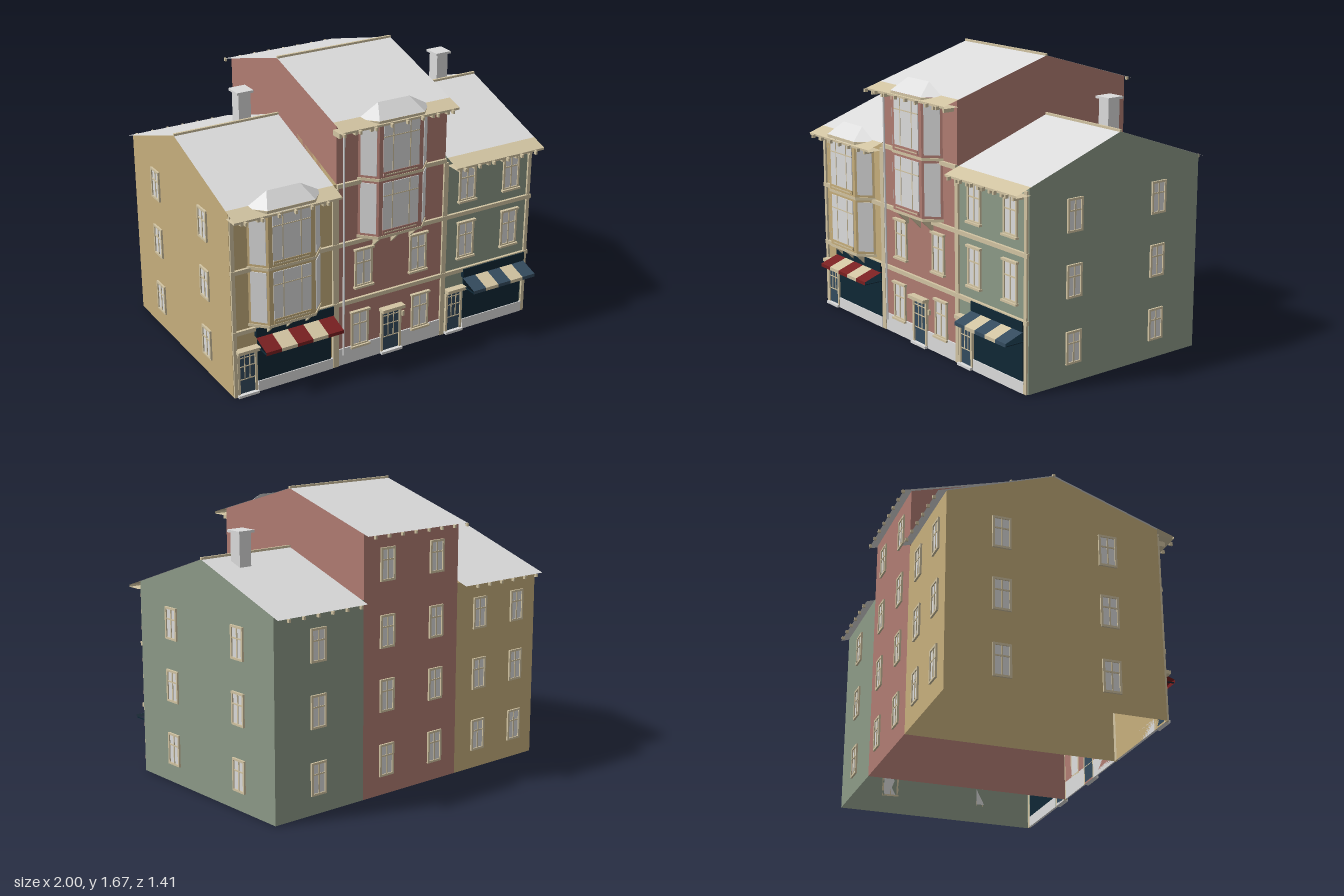
import * as THREE from 'three';

const mat = (name, color) => {
  const m = new THREE.MeshStandardMaterial({ color, side: THREE.DoubleSide });
  m.name = name;
  return m;
};
const F = 0.575, B = -0.64, RZ = -0.035; // front wall, back wall, ridge

export function createModel() {
  const M = {
    ochre: mat('ochre plaster', 0xc6ae7c), red: mat('red plaster', 0xb07c72),
    green: mat('green plaster', 0x8c9a87), cream: mat('cream trim', 0xd2c4a2),
    grey: mat('pale grey', 0xdcdcdc), navy: mat('navy shopfront', 0x0f2735),
    blue: mat('blue paint', 0x344b5e), crimson: mat('crimson cloth', 0x7a1f20),
  };
  const model = new THREE.Group();
  model.name = 'terrace';

  const add = (parent, name, geo, m) => {
    const mesh = new THREE.Mesh(geo, m);
    mesh.name = name;
    parent.add(mesh);
    return mesh;
  };
  // box given by its limits
  const box = (parent, name, m, x0, x1, y0, y1, z0, z1) => {
    const b = add(parent, name, new THREE.BoxGeometry(x1 - x0, y1 - y0, z1 - z0), m);
    b.position.set((x0 + x1) / 2, (y0 + y1) / 2, (z0 + z1) / 2);
    return b;
  };
  // flat polygon of 3 to 5 corners, counter-clockwise from outside
  const face = (parent, name, m, ...pts) => {
    const pos = [];
    for (let i = 1; i < pts.length - 1; i++) pos.push(...pts[0], ...pts[i], ...pts[i + 1]);
    const g = new THREE.BufferGeometry();
    g.setAttribute('position', new THREE.Float32BufferAttribute(pos, 3));
    g.computeVertexNormals();
    return add(parent, name, g, m);
  };
  const group = (parent, name, x = 0, y = 0, z = 0, ry = 0) => {
    const g = new THREE.Group();
    g.name = name;
    g.position.set(x, y, z);
    g.rotation.y = ry;
    parent.add(g);
    return g;
  };

  // casement window: frame, glazing bars, optional sill and lintel
  const windowAt = (parent, x, y, z, ry, w, h, trim) => {
    const g = group(parent, 'window', x, y, z, ry), d = 0.011, t = 0.012, W = w / 2, H = h / 2;
    box(g, 'pane', M.grey, -W + t, W - t, -H + t, H - t, 0, 0.004);
    for (const s of [-1, 1]) {
      box(g, 'jamb', M.cream, s * (W - t / 2) - t / 2, s * (W - t / 2) + t / 2, -H, H, 0, d);
      box(g, 'rail', M.cream, -W, W, s * (H - t / 2) - t / 2, s * (H - t / 2) + t / 2, 0, d);
    }
    box(g, 'mullion', M.cream, -0.004, 0.004, -H, H, 0, 0.008);
    box(g, 'transom', M.cream, -W, W, H * 0.22, H * 0.22 + 0.008, 0, 0.008);
    if (trim) {
      box(g, 'sill', M.cream, -W - 0.006, W + 0.006, -H - 0.008, -H + 0.004, 0, 0.022);
      box(g, 'lintel', M.cream, -W - 0.006, W + 0.006, H - 0.006, H + 0.006, 0, 0.02);
    }
  };

  // glazed door with frame, hood and step
  const doorAt = (parent, x, w) => {
    const g = group(parent, 'door', x, 0, F), W = w / 2;
    box(g, 'doorLeaf', M.blue, -W, W, 0.01, 0.28, 0, 0.008);
    for (const s of [-1, 1]) box(g, 'doorJamb', M.cream, s * (W + 0.006) - 0.007, s * (W + 0.006) + 0.007, 0, 0.28, 0, 0.016);
    for (const s of [-1, 1]) box(g, 'doorBar', M.cream, s * W / 3 - 0.003, s * W / 3 + 0.003, 0.1, 0.27, 0, 0.011);
    for (const y of [0.1, 0.18, 0.235]) box(g, 'doorBar', M.cream, -W, W, y, y + 0.005, 0, 0.011);
    box(g, 'doorHood', M.cream, -W - 0.02, W + 0.02, 0.275, 0.295, 0, 0.045);
    box(g, 'step', M.grey, -W - 0.015, W + 0.015, 0, 0.015, 0, 0.03);
  };

  // one house: walls, roof, eaves, ridge and string courses
  const house = (name, m, x0, x1, r0, r1, ridge, eave, sides, courses) => {
    const g = group(model, name);
    face(g, 'frontWall', m, [x0, 0, F], [x1, 0, F], [x1, eave, F], [x0, eave, F]);
    face(g, 'backWall', m, [x1, 0, B], [x0, 0, B], [x0, eave, B], [x1, eave, B]);
    for (const [x, base] of sides) {
      const p = [[x, base, F], [x, base, B], [x, eave, B], [x, ridge, RZ], [x, eave, F]];
      face(g, 'gableWall', m, ...(x === x0 ? p.reverse() : p));
    }
    const k = (ridge - eave) / (F - RZ), at = z => ridge - k * Math.abs(z - RZ);
    const strip = (n, mm, za, zb) => face(g, n, mm, [r0, at(za), za], [r1, at(za), za], [r1, at(zb), zb], [r0, at(zb), zb]);
    strip('frontRoof', M.grey, F, RZ);
    strip('backRoof', M.grey, RZ, -0.69);
    strip('cornice', M.cream, 0.67, F);
    const e = at(0.67);
    face(g, 'fascia', M.cream, [r0, e - 0.012, 0.67], [r1, e - 0.012, 0.67], [r1, e, 0.67], [r0, e, 0.67]);
    face(g, 'soffit', M.cream, [r0, e - 0.012, F], [r1, e - 0.012, F], [r1, e - 0.012, 0.67], [r0, e - 0.012, 0.67]);
    box(g, 'ridgeCap', M.cream, r0, r1, ridge - 0.004, ridge + 0.01, RZ - 0.007, RZ + 0.007);
    for (let i = 0; i < 20; i++) {
      const x = -0.94 + i * 0.0985;
      if (x < r0 || x > r1) continue;
      box(g, 'eaveBracket', M.cream, x - 0.006, x + 0.006, at(-0.69) - 0.018, at(-0.69), -0.702, -0.685);
      box(g, 'eaveBracket', M.cream, x - 0.006, x + 0.006, e - 0.022, e - 0.002, 0.67, 0.69);
      box(g, 'corbel', M.cream, x - 0.008, x + 0.008, e - 0.042, e - 0.012, F, 0.64);
    }
    for (const y of courses) box(g, 'stringCourse', M.cream, x0, x1, y - 0.012, y + 0.012, F, F + 0.016);
    return g;
  };
  const a = -0.335, b = 0.375;
  const left = house('leftHouse', M.ochre, -0.988, a, -1, -0.355, 1.335, 1.125, [[-0.988, 0], [a, 0]], [0.76, 0.395]);
  const mid = house('middleHouse', M.red, a, b, -0.355, 0.39, 1.665, 1.485, [[a, 1.0], [b, 0]], [1.115, 0.76, 0.395]);
  const right = house('rightHouse', M.green, b, 0.988, 0.39, 1, 1.335, 1.125, [[0.988, 0]], [0.76, 0.395]);

  // gable and back windows
  const rows = [0.2, 0.57, 0.93, 1.3];
  rows.forEach((y, i) => {
    for (const x of [0.205, -0.165]) windowAt(mid, x, y, B, Math.PI, 0.105, 0.185);
    if (i === 3) return;
    for (const z of [0.27, -0.335]) {
      windowAt(right, 0.988, y, z, Math.PI / 2, 0.105, 0.185);
      windowAt(left, -0.988, y, z, -Math.PI / 2, 0.105, 0.185);
    }
    windowAt(right, 0.695, y, B, Math.PI, 0.105, 0.185);
    for (const x of [-0.52, -0.83]) windowAt(left, x, y, B, Math.PI, 0.105, 0.185);
  });

  // front windows
  for (const x of [-0.163, 0.2]) windowAt(mid, x, 0.59, F, 0, 0.115, 0.23, true);
  for (const x of [-0.185, 0.222]) windowAt(mid, x, 0.21, F, 0, 0.115, 0.22, true);
  for (const x of [0.53, 0.84]) for (const y of [0.59, 0.95]) windowAt(right, x, y, F, 0, 0.115, 0.225, true);

  // two-storey canted bay with hipped cap and brackets
  const bay = (parent, m, cx, y0) => {
    const g = group(parent, 'bay', cx, y0, F), W = 0.222, N = 0.14, D = 0.085, H = 0.69;
    const plan = [[-W, 0], [-N, D], [N, D], [W, 0]];
    const slab = (n, mm, ya, yb, s) => {
      const sh = new THREE.Shape(plan.map(([x, z]) => new THREE.Vector2(x * s, -z * s)));
      const geo = new THREE.ExtrudeGeometry(sh, { depth: yb - ya, bevelEnabled: false });
      geo.rotateX(-Math.PI / 2).translate(0, ya, 0);
      add(g, n, geo, mm);
    };
    slab('bayBody', m, 0, H, 1);
    for (const y of [0, 0.345, H - 0.012]) slab('bayMoulding', M.cream, y - 0.006, y + 0.01, 1.03);
    // glazing on each facet, both storeys
    for (let i = 0; i < 3; i++) {
      const [xa, za] = plan[i], [xb, zb] = plan[i + 1];
      const len = Math.hypot(xb - xa, zb - za), w = len / 2 - (i === 1 ? 0.025 : 0.014);
      const f = group(g, 'bayFacet', (xa + xb) / 2, 0, (za + zb) / 2, Math.atan2(za - zb, xb - xa));
      for (const y of [0.02, 0.365]) {
        box(f, 'bayPane', M.grey, -w, w, y + 0.005, y + 0.305, 0, 0.004);
        if (i !== 1) continue;
        box(f, 'bayPanel', m, -w, w, y, y + 0.025, 0, 0.007);
        box(f, 'bayPanelTrim', M.cream, -w + 0.01, w - 0.01, y + 0.006, y + 0.012, 0, 0.009);
        for (const s of [-1, 1]) box(f, 'bayBar', M.cream, s * 0.055 - 0.003, s * 0.055 + 0.003, y + 0.025, y + 0.305, 0, 0.006);
        box(f, 'bayBar', M.cream, -w, w, y + 0.225, y + 0.231, 0, 0.006);
      }
    }
    // cap
    const t = H + 0.072, o = W + 0.006, n = N + 0.004, d = D + 0.004, c = 0.1;
    face(g, 'bayRoof', M.grey, [-n, H, d], [n, H, d], [c, t, 0], [-c, t, 0]);
    face(g, 'bayRoof', M.grey, [n, H, d], [o, H, 0], [c, t, 0]);
    face(g, 'bayRoof', M.grey, [-o, H, 0], [-n, H, d], [-c, t, 0]);
    // triangular brackets below
    const tri = new THREE.Shape([new THREE.Vector2(0, 0), new THREE.Vector2(D, 0), new THREE.Vector2(0, -0.085)]);
    for (const x of [-0.12, 0, 0.12]) {
      const geo = new THREE.ExtrudeGeometry(tri, { depth: 0.012, bevelEnabled: false });
      add(g, 'bayBracket', geo.rotateY(-Math.PI / 2), M.cream).position.set(x + 0.006, 0, 0);
    }
  };
  bay(left, M.ochre, -0.66, 0.425);
  bay(mid, M.red, 0.022, 0.785);

  // shopfront with sign board and striped awning
  const shop = (parent, x0, x1, cloth) => {
    const g = group(parent, 'shopfront');
    box(g, 'shopWindow', M.navy, x0 + 0.012, x1 - 0.012, 0.065, 0.35, F, F + 0.008);
    box(g, 'signBoard', M.navy, x0, x1, 0.345, 0.4, F, F + 0.022);
    box(g, 'stallRiser', M.grey, x0 + 0.01, x1, 0, 0.065, F, F + 0.014);
    const w = (x1 - x0) / 5;
    for (let i = 0; i < 5; i++) {
      const p = x0 + i * w, q = p + w, m = i % 2 ? M.cream : cloth;
      face(g, 'awningStripe', m, [p, 0.305, 0.705], [q, 0.305, 0.705], [q, 0.345, F + 0.01], [p, 0.345, F + 0.01]);
      face(g, 'awningValance', m, [p, 0.285, 0.705], [q, 0.285, 0.705], [q, 0.305, 0.705], [p, 0.305, 0.705]);
    }
    for (const x of [x0 + 0.006, x1 - 0.006]) box(g, 'awningArm', M.navy, x - 0.003, x + 0.003, 0.285, 0.29, F, 0.703);
  };
  shop(left, -0.85, -0.365, M.crimson);
  shop(right, 0.515, 0.958, M.blue);

  doorAt(left, -0.905, 0.095);
  doorAt(mid, 0.022, 0.11);
  doorAt(right, 0.46, 0.09);

  // stone plinth of the middle house, either side of its door
  box(mid, 'plinth', M.grey, -0.325, -0.045, 0, 0.105, F, F + 0.008);
  box(mid, 'plinth', M.grey, 0.09, 0.365, 0, 0.105, F, F + 0.008);
  box(mid, 'letterBox', M.cream, 0.1, 0.114, 0.205, 0.235, F, F + 0.012);

  // corner strips and drainpipe
  for (const [x, w, h, p] of [[-0.975, 0.022, 1.1, left], [-0.345, 0.036, 1.1, left], [0.378, 0.03, 1.1, right], [0.97, 0.022, 1.1, right]])
    box(p, 'pilaster', M.cream, x - w / 2, x + w / 2, 0, h, F, F + 0.012);
  const pipe = add(mid, 'drainpipe', new THREE.CylinderGeometry(0.006, 0.006, 1.38, 8), M.grey);
  pipe.position.set(-0.3, 0.76, F + 0.02);

  // chimneys
  for (const [x, p] of [[-0.535, left], [0.803, right]]) {
    box(p, 'chimney', M.grey, x - 0.038, x + 0.038, 1.2, 1.475, -0.17, -0.09);
    box(p, 'chimneyCap', M.grey, x - 0.052, x + 0.052, 1.472, 1.486, -0.184, -0.078);
  }
  return model;
}
